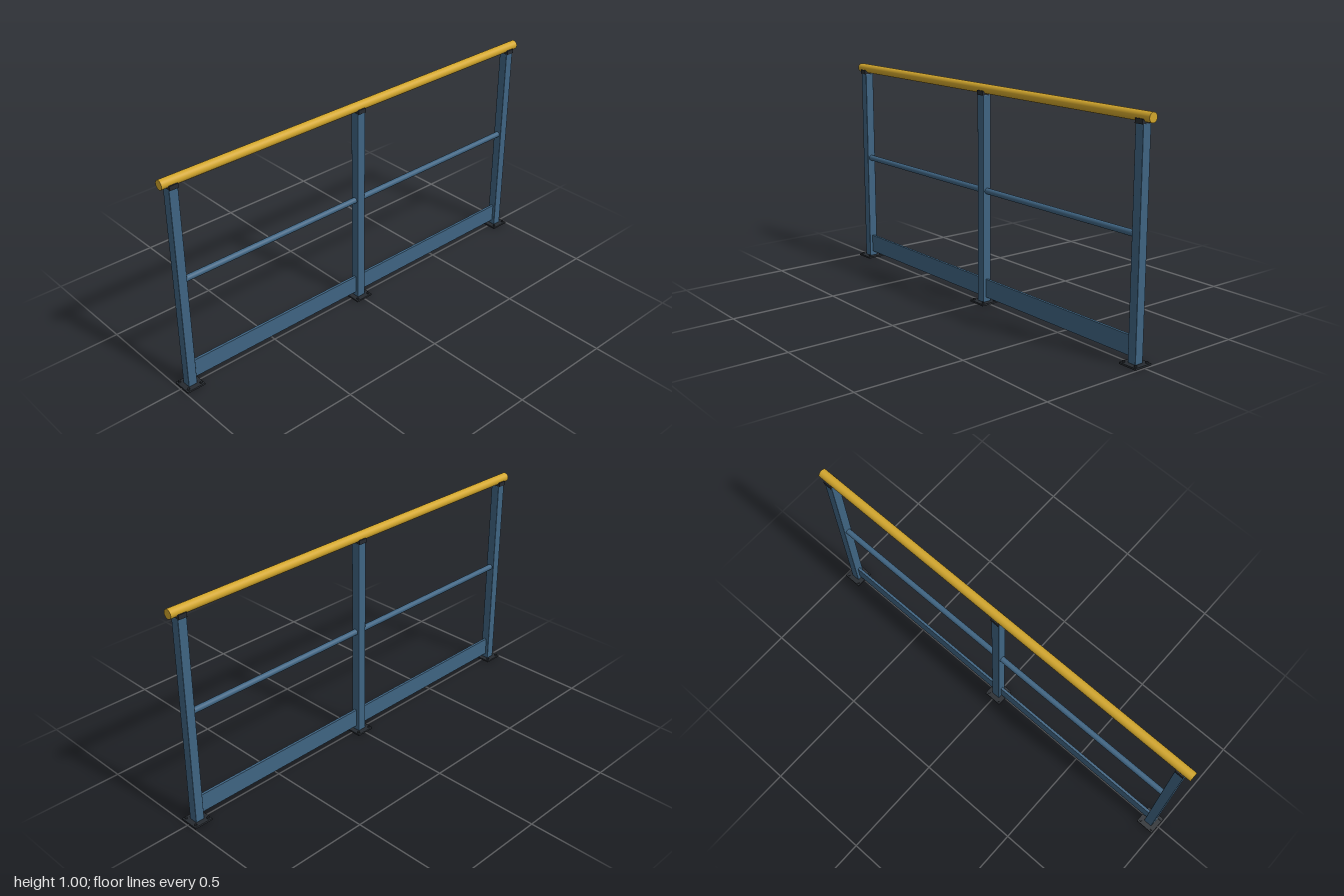
import * as THREE from 'three';
import { RoundedBoxGeometry } from 'three/addons/geometries/RoundedBoxGeometry.js';

export function createModel() {
  const model = new THREE.Group();
  model.name = 'guardRail';

  const paint = (name, color) => {
    const m = new THREE.MeshStandardMaterial({ color });
    m.name = name;
    return m;
  };
  const blue = paint('steelBlue', 0x3f6482);
  const yellow = paint('safetyYellow', 0xd2a62c);
  const dark = paint('darkSteel', 0x272b30);

  const add = (parent, name, geometry, material, x, y, z) => {
    const mesh = new THREE.Mesh(geometry, material);
    mesh.name = name;
    mesh.position.set(x, y, z);
    parent.add(mesh);
    return mesh;
  };

  const postX = [-0.95, 0, 0.95];
  const railY = 0.979, railR = 0.021, postW = 0.042;

  // Handrail along the top
  const handrail = new THREE.CylinderGeometry(railR, railR, 2, 32).rotateZ(Math.PI / 2);
  add(model, 'handrail', handrail, yellow, 0, railY, 0);

  // Saddle profile: a block with a round cradle for the handrail
  const saddleShape = new THREE.Shape();
  saddleShape.moveTo(-0.025, 0.952);
  saddleShape.lineTo(0.025, 0.952);
  saddleShape.lineTo(0.025, 0.972);
  saddleShape.lineTo(0.0199, 0.972);
  saddleShape.absarc(0, railY, railR, -0.34, -Math.PI + 0.34, true);
  saddleShape.lineTo(-0.025, 0.972);
  saddleShape.closePath();
  const saddleGeo = new THREE.ExtrudeGeometry(saddleShape, { depth: 0.04, bevelEnabled: false, curveSegments: 16 })
    .translate(0, 0, -0.02).rotateY(Math.PI / 2);

  // Posts with base plates, anchor bolts and saddles
  const postGeo = new RoundedBoxGeometry(postW, 0.947, postW, 2, 0.003);
  const plateGeo = new THREE.BoxGeometry(0.088, 0.008, 0.088);
  const boltGeo = new THREE.CylinderGeometry(0.006, 0.006, 0.007, 6);
  for (const x of postX) {
    const unit = new THREE.Group();
    unit.name = 'postAssembly';
    unit.position.x = x;
    model.add(unit);
    add(unit, 'post', postGeo, blue, 0, 0.4805, 0);
    add(unit, 'basePlate', plateGeo, dark, 0, 0.004, 0);
    add(unit, 'saddle', saddleGeo, dark, 0, 0, 0);
    for (const sx of [-1, 1]) for (const sz of [-1, 1])
      add(unit, 'anchorBolt', boltGeo, dark, sx * 0.032, 0.0115, sz * 0.032);
  }

  // Mid rails and toe boards between neighbouring posts
  const span = 0.95 - postW + 0.004;
  const midGeo = new THREE.CylinderGeometry(0.0135, 0.0135, span, 24).rotateZ(Math.PI / 2);
  const toeGeo = new THREE.BoxGeometry(span, 0.085, 0.012);
  for (const x of [-0.475, 0.475]) {
    add(model, 'midRail', midGeo, blue, x, 0.524, 0);
    add(model, 'toeBoard', toeGeo, blue, x, 0.0725, 0);
  }
  return model;
}
